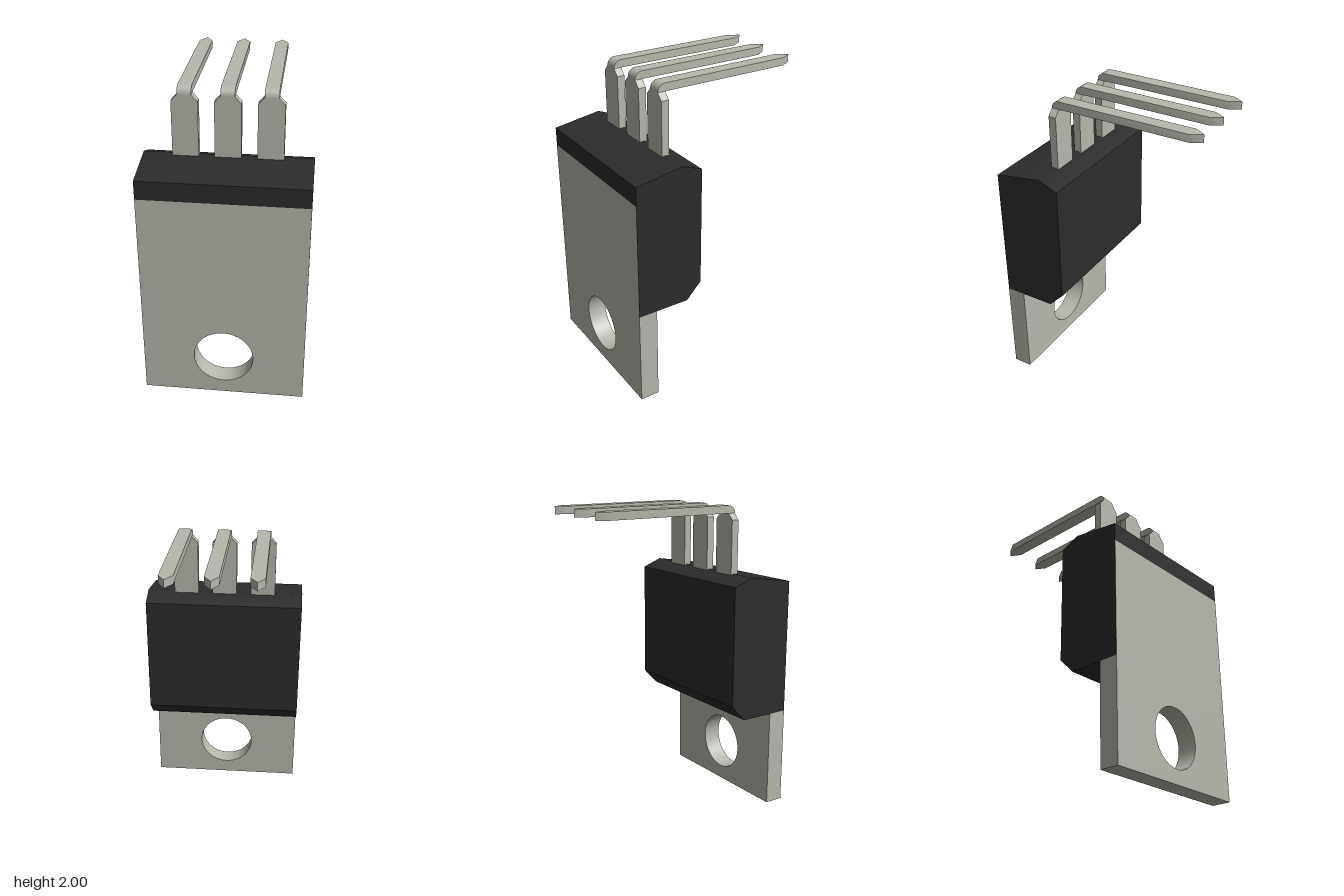
import * as THREE from 'three';
import { toCreasedNormals } from 'three/addons/utils/BufferGeometryUtils.js';

const W = 1.035; // overall width
const FRONT = 0.635;

const polygon = (pts) => new THREE.Shape(pts.map(([x, y]) => new THREE.Vector2(x, y)));

function extrude(shape, depth) {
  const g = new THREE.ExtrudeGeometry(shape, { depth, bevelEnabled: false, curveSegments: 24 });
  return toCreasedNormals(g, 0.6);
}

// Extrude a side profile, given as (-z, y), across x and centre it
const extrudeAcross = (shape, width) =>
  extrude(shape, width).translate(0, 0, -width / 2).rotateY(Math.PI / 2);

function createPin(metal) {
  const pin = new THREE.Group();
  const add = (name, geometry) => {
    const m = new THREE.Mesh(geometry, metal);
    m.name = name;
    pin.add(m);
  };
  const wide = 0.08, slim = 0.0425, t = 0.05, zBack = 0.3, yBend = 1.95;

  // Wide upright with chamfered shoulders
  add('pinUpright', extrude(polygon([
    [-wide, 1.5], [wide, 1.5], [wide, 1.91], [slim, yBend], [-slim, yBend], [-wide, 1.91],
  ]), t).translate(0, 0, zBack));

  // Quarter-round bend
  const bend = new THREE.Shape();
  bend.moveTo(-zBack, yBend);
  bend.lineTo(-zBack, yBend + t);
  bend.absarc(-zBack, yBend, t, Math.PI / 2, Math.PI, false);
  bend.lineTo(-zBack, yBend);
  add('pinBend', extrudeAcross(bend, slim * 2));

  // Long rearward leg with a pointed end
  add('pinLeg', extrude(polygon([
    [-slim, -zBack], [slim, -zBack], [slim, 0.565], [0, 0.635], [-slim, 0.565],
  ]), t).rotateX(-Math.PI / 2).translate(0, yBend, 0));
  return pin;
}

export function createModel() {
  const metal = new THREE.MeshStandardMaterial({ color: 0xb8b7ac });
  metal.name = 'tinnedMetal';
  const plastic = new THREE.MeshStandardMaterial({ color: 0x2c2c2c });
  plastic.name = 'blackPlastic';

  const model = new THREE.Group();
  model.name = 'powerTransistor';
  const add = (name, geometry, material) => {
    const m = new THREE.Mesh(geometry, material);
    m.name = name;
    model.add(m);
  };

  // Moulded body with a ridged top and a bevelled lower rear edge
  add('body', extrudeAcross(polygon([
    [-FRONT + 0.001, 0.64], [-0.29, 0.64], [-0.19, 0.745],
    [-0.19, 1.52], [-0.32, 1.57], [-FRONT + 0.001, 1.52],
  ]), W), plastic);

  // Mounting tab with a round hole
  const h = W / 2;
  const tab = polygon([[-h, 0], [h, 0], [h, 0.64], [-h, 0.64]]);
  const hole = new THREE.Path();
  hole.absarc(0, 0.283, 0.19, 0, Math.PI * 2, true);
  tab.holes.push(hole);
  add('mountingTab', extrude(tab, 0.125).translate(0, 0, FRONT - 0.125), metal);

  // Exposed face of the tab, flush with the body front
  add('tabFace', new THREE.PlaneGeometry(W, 0.76).translate(0, 1.02, FRONT), metal);

  // Three bent pins
  ['rightPin', 'centrePin', 'leftPin'].forEach((name, i) => {
    const pin = createPin(metal);
    pin.name = name;
    pin.position.x = (i - 1) * 0.256;
    model.add(pin);
  });
  return model;
}
